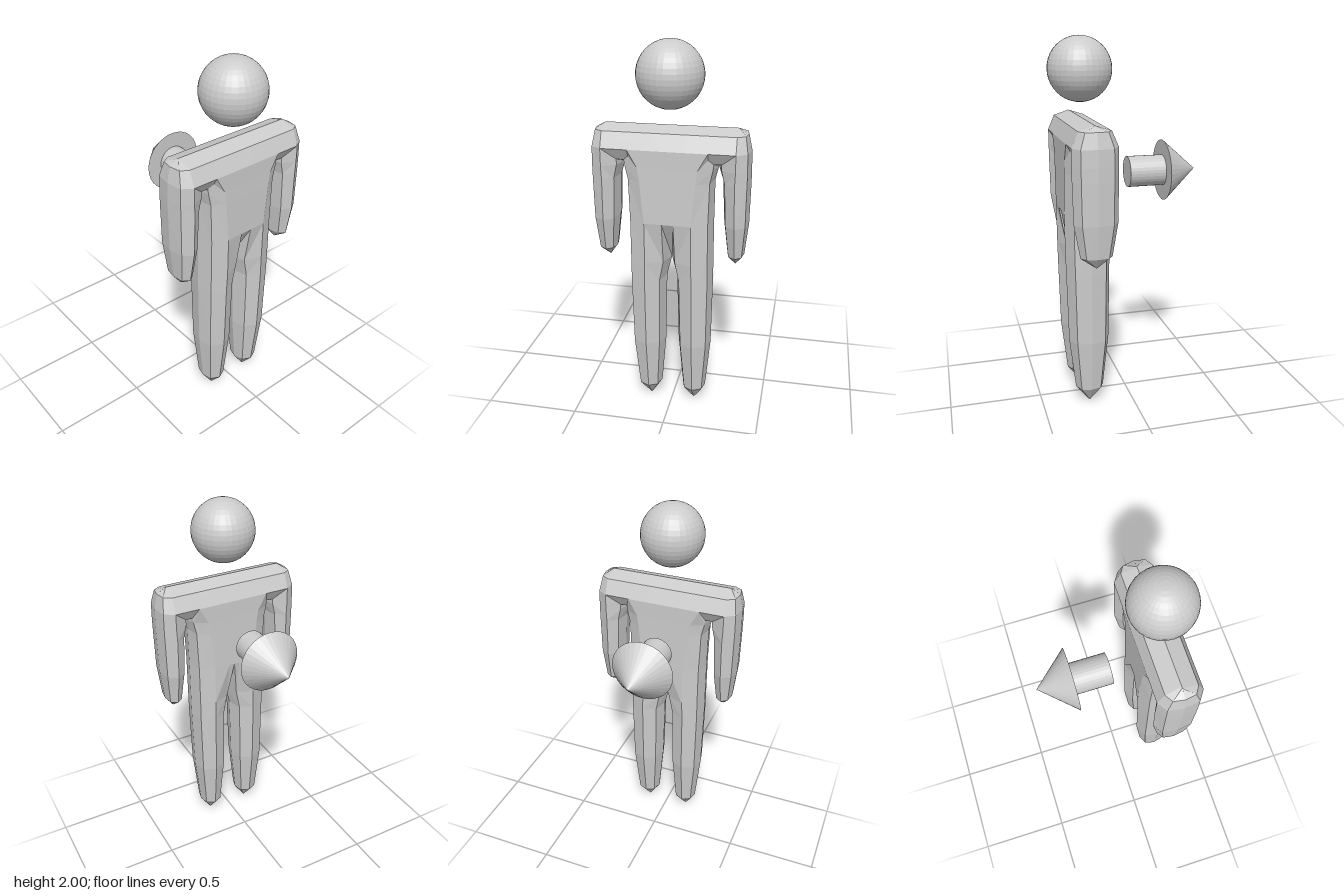
import * as THREE from 'three';

const material = new THREE.MeshStandardMaterial({ color: 0xcccccc, flatShading: true, side: THREE.DoubleSide });
const BODY_Z = 0.238;

// Eight-sided section between inner x0 and outer x1, half depth hz.
// in1 / in0: depth of the inner corner and inner edge (equal to hz where halves merge).
function section({ y, x0, x1, hz, mid = (x0 + x1) / 2, in1 = hz * 0.7, in0 = 0 }) {
  const front = [
    [x1, 0],
    [x1 - (x1 - mid) * 0.2, hz * 0.7],
    [mid, hz],
    [x0 + (mid - x0) * 0.25, in1],
    [x0, in0],
  ];
  const back = front.slice(1).reverse().map(([x, z]) => [x, -z]);
  return [...front, ...back].map(([x, z]) => [x, y, z]);
}

// Skins sections from bottom to top; side = -1 mirrors the part.
function loft(name, rows, side) {
  const rings = rows.map(section);
  const n = rings[0].length;
  const index = [];
  for (let k = 0; k < rings.length - 1; k++) {
    for (let i = 0; i < n; i++) {
      const j = (i + 1) % n;
      const a = k * n + i, b = k * n + j, c = a + n, d = b + n;
      if (side > 0) index.push(a, c, b, b, c, d);
      else index.push(a, b, c, b, d, c);
    }
  }
  const geometry = new THREE.BufferGeometry();
  const points = rings.flat().flatMap(([x, y, z]) => [x * side, y, z]);
  geometry.setAttribute('position', new THREE.Float32BufferAttribute(points, 3));
  geometry.setIndex(index);
  geometry.computeVertexNormals();
  const mesh = new THREE.Mesh(geometry, material);
  mesh.name = name;
  mesh.position.z = BODY_Z;
  return mesh;
}

// Leg running up into half of the torso
const legAndTorso = [
  { y: 0.005, x0: 0.122, x1: 0.122, hz: 0 },
  { y: 0.1, x0: 0.06, x1: 0.185, hz: 0.077 },
  { y: 0.39, x0: 0.035, x1: 0.213, hz: 0.11 },
  { y: 0.77, x0: 0.027, x1: 0.22, hz: 0.118 },
  { y: 0.88, x0: 0, x1: 0.22, hz: 0.12, mid: 0.12 },
  { y: 1.1, x0: 0, x1: 0.22, hz: 0.121, mid: 0.12, in1: 0.121, in0: 0.121 },
  { y: 1.32, x0: 0, x1: 0.223, hz: 0.119, mid: 0.14, in1: 0.119, in0: 0.119 },
  { y: 1.39, x0: 0, x1: 0.24, hz: 0.118, mid: 0.15, in1: 0.118, in0: 0.118 },
  { y: 1.48, x0: 0, x1: 0.242, hz: 0.118, mid: 0.2, in1: 0.118, in0: 0.118 },
];

const arm = [
  { y: 0.865, x0: 0.335, x1: 0.335, hz: 0 },
  { y: 0.925, x0: 0.293, x1: 0.38, hz: 0.083 },
  { y: 1.1, x0: 0.272, x1: 0.399, hz: 0.114 },
  { y: 1.32, x0: 0.262, x1: 0.403, hz: 0.118 },
  { y: 1.39, x0: 0.24, x1: 0.403, hz: 0.118, mid: 0.335 },
  { y: 1.48, x0: 0.238, x1: 0.401, hz: 0.118, mid: 0.335 },
];

// Bevelled half of the shoulder bar
const shoulder = [
  [1.39, 0.395, 0], [1.42, 0.398, 0.083], [1.48, 0.401, 0.118],
  [1.56, 0.384, 0.083], [1.587, 0.335, 0],
].map(([y, x1, hz]) => ({ y, x0: 0, x1, hz, mid: Math.min(0.335, x1 - 0.01), in1: hz, in0: hz }));

export function createModel() {
  const group = new THREE.Group();

  for (const [label, side] of [['left', 1], ['right', -1]]) {
    group.add(
      loft(label + 'LegAndTorso', legAndTorso, side),
      loft(label + 'Arm', arm, side),
      loft(label + 'Shoulder', shoulder, side),
    );
  }

  // Floating head
  const head = new THREE.Mesh(new THREE.SphereGeometry(0.168, 32, 20), material);
  head.name = 'head';
  head.position.set(-0.005, 1.832, BODY_Z);
  group.add(head);

  // Arrow behind the body, pointing backwards
  const arrow = new THREE.Group();
  arrow.name = 'arrow';
  arrow.position.set(-0.022, 1.278, 0);
  arrow.rotation.x = -Math.PI / 2;
  const shaft = new THREE.Mesh(new THREE.CylinderGeometry(0.084, 0.084, 0.2, 32), material);
  shaft.name = 'arrowShaft';
  shaft.position.y = 0.12;
  const tip = new THREE.Mesh(new THREE.ConeGeometry(0.167, 0.187, 32), material);
  tip.name = 'arrowTip';
  tip.position.y = 0.3135;
  arrow.add(shaft, tip);
  group.add(arrow);

  return group;
}
